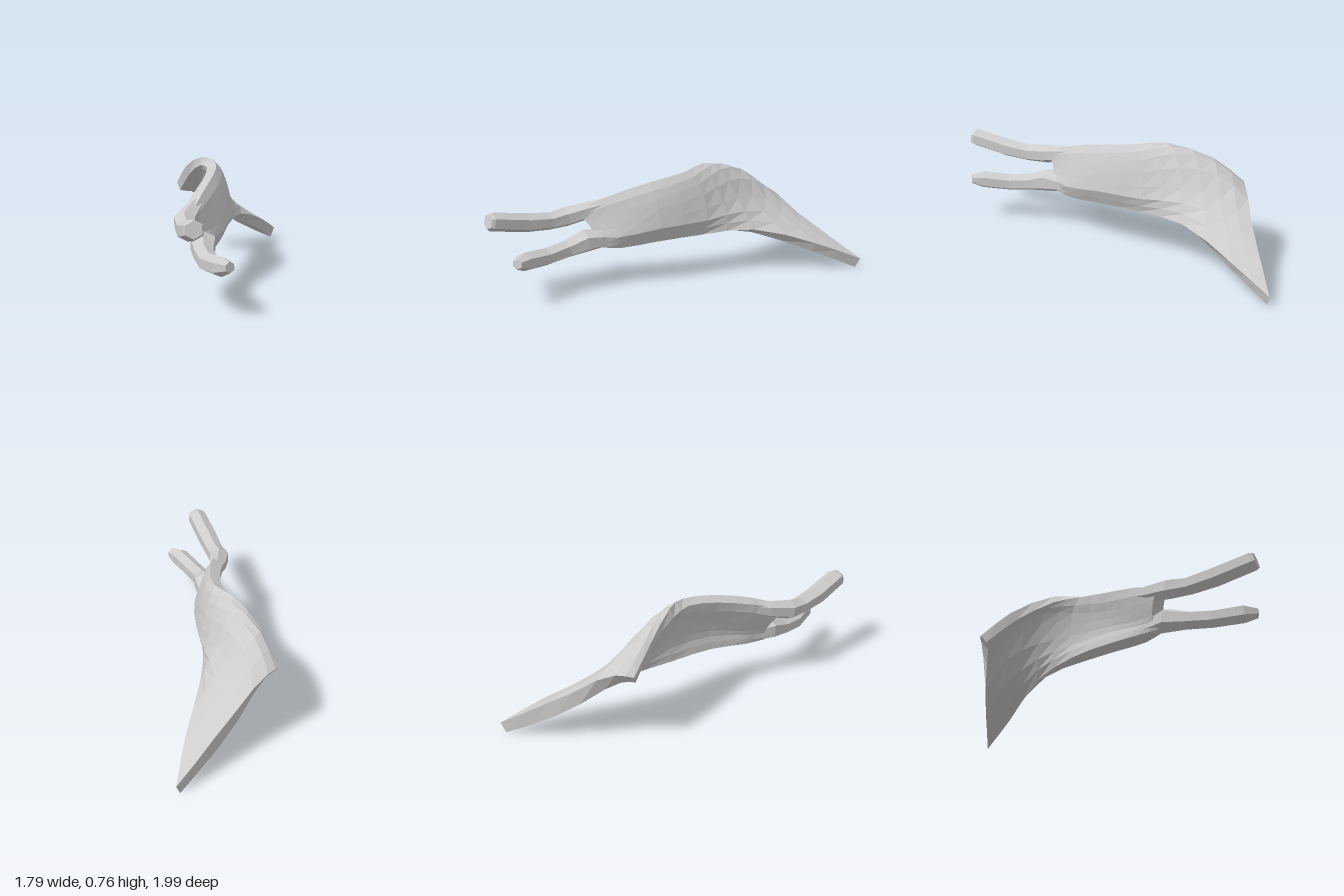
import * as THREE from 'three';

const V = (p) => new THREE.Vector3(p[0], p[1], p[2]);

// Skins closed rings of points and caps both ends; faces are turned outward.
function loft(rings) {
  const n = rings[0].length, tris = [];
  const quad = (a, b, c, d) => tris.push([a, b, c], [a, c, d]);
  for (let i = 0; i + 1 < rings.length; i++) {
    for (let j = 0; j < n; j++) {
      const k = (j + 1) % n;
      quad(rings[i][j], rings[i][k], rings[i + 1][k], rings[i + 1][j]);
    }
  }
  const first = rings[0], last = rings[rings.length - 1];
  for (let j = 0; j < n / 2 - 1; j++) {
    const a = n - 1 - j, b = n - 2 - j;
    quad(first[j], first[a], first[b], first[j + 1]);
    quad(last[j], last[j + 1], last[b], last[a]);
  }
  let volume = 0;
  for (const [a, b, c] of tris) volume += a.dot(b.clone().cross(c));
  const pos = [];
  for (const [a, b, c] of tris) {
    for (const p of volume > 0 ? [a, b, c] : [a, c, b]) pos.push(p.x, p.y, p.z);
  }
  const g = new THREE.BufferGeometry();
  g.setAttribute('position', new THREE.Float32BufferAttribute(pos, 3));
  g.computeVertexNormals();
  return g;
}

// Middle surface of the blade: each row runs from the lower back edge to the upper front edge.
const SECTIONS = [
  [[-0.88, 0.037, -0.975], [-0.88, 0.235, -0.59], [-0.875, 0.475, -0.22], [-0.875, 0.485, -0.095]],
  [[-0.7, 0.165, -0.71], [-0.72, 0.36, -0.38], [-0.7, 0.62, -0.125], [-0.67, 0.635, -0.04]],
  [[-0.48, 0.295, -0.33], [-0.49, 0.43, -0.225], [-0.46, 0.675, -0.07], [-0.4, 0.735, 0.025]],
  [[-0.24, 0.31, -0.04], [-0.25, 0.43, -0.065], [-0.25, 0.625, -0.01], [-0.21, 0.73, 0.075]],
  [[0, 0.305, 0.18], [0.01, 0.42, 0.155], [0, 0.55, 0.18], [-0.02, 0.685, 0.235]],
  [[0.18, 0.28, 0.37], [0.19, 0.37, 0.365], [0.17, 0.49, 0.4], [0.16, 0.61, 0.45]],
  [[0.3, 0.285, 0.49], [0.28, 0.36, 0.5], [0.28, 0.45, 0.56], [0.31, 0.52, 0.63]],
];
const HALF_THICKNESS = [0.046, 0.045, 0.044, 0.048, 0.053, 0.056, 0.045];

function bladeGeometry() {
  const across = 7, along = 12, rows = SECTIONS.length - 1;
  const lines = [0, 1, 2, 3].map((k) => new THREE.CatmullRomCurve3(SECTIONS.map((row) => V(row[k]))));
  const grid = Array.from({ length: along + 1 }, (_, i) => {
    const curve = new THREE.CatmullRomCurve3(lines.map((line) => line.getPoint(i / along)));
    return Array.from({ length: across + 1 }, (_, j) => curve.getPoint(j / across));
  });
  const rings = grid.map((row, i) => {
    const near = grid[Math.max(i - 1, 0)], far = grid[Math.min(i + 1, along)];
    const s = (i / along) * rows, k = Math.min(Math.floor(s), rows - 1);
    const half = THREE.MathUtils.lerp(HALF_THICKNESS[k], HALF_THICKNESS[k + 1], s - k);
    const outer = [], inner = [];
    row.forEach((p, j) => {
      const u = far[j].clone().sub(near[j]);
      const v = row[Math.min(j + 1, across)].clone().sub(row[Math.max(j - 1, 0)]);
      const normal = u.cross(v).normalize();
      // Thinner at the rims, so the edges look worn round
      const t = half * (j === 0 ? 0.85 : j === across ? 0.7 : 1);
      // Low ridge along the hollow side, just above the lower edge
      const ridge = j === 2 ? 1.2 : 1;
      outer.push(p.clone().addScaledVector(normal, t));
      inner.push(p.clone().addScaledVector(normal, -t * ridge));
    });
    return outer.concat(inner.reverse());
  });
  return loft(rings);
}

// Faceted tapering rod; each row is x, y, z, radius.
function prongGeometry(rows, sides = 6) {
  const up = new THREE.Vector3(0, 1, 0);
  return loft(rows.map((r, i) => {
    const dir = V(rows[Math.min(i + 1, rows.length - 1)]).sub(V(rows[Math.max(i - 1, 0)])).normalize();
    const side = dir.clone().cross(up).normalize();
    const top = side.clone().cross(dir);
    return Array.from({ length: sides }, (_, j) => {
      const a = ((j + 0.5) / sides) * Math.PI * 2;
      return V(r).addScaledVector(side, Math.cos(a) * r[3] * 1.1).addScaledVector(top, Math.sin(a) * r[3]);
    });
  }));
}

export function createModel() {
  const model = new THREE.Group();
  model.name = 'forkedBlade';
  const grey = new THREE.MeshStandardMaterial({ color: 0xcccccc, flatShading: true });
  grey.name = 'light grey';
  const add = (name, geometry) => {
    const mesh = new THREE.Mesh(geometry, grey);
    mesh.name = name;
    model.add(mesh);
  };

  // Curled sheet
  add('blade', bladeGeometry());

  // Two prongs growing out of the narrow end
  add('upperProng', prongGeometry([
    [0.1, 0.59, 0.35, 0.035], [0.24, 0.525, 0.54, 0.058], [0.35, 0.487, 0.67, 0.068], [0.46, 0.475, 0.735, 0.06],
    [0.61, 0.493, 0.82, 0.065], [0.835, 0.545, 0.935, 0.063], [0.855, 0.55, 0.945, 0.053],
  ]));
  add('lowerProng', prongGeometry([
    [0.1, 0.335, 0.28, 0.035], [0.24, 0.335, 0.43, 0.055], [0.345, 0.335, 0.53, 0.082], [0.46, 0.3, 0.605, 0.062],
    [0.61, 0.28, 0.67, 0.06], [0.8, 0.295, 0.715, 0.062], [0.885, 0.305, 0.71, 0.034],
  ]));
  return model;
}
